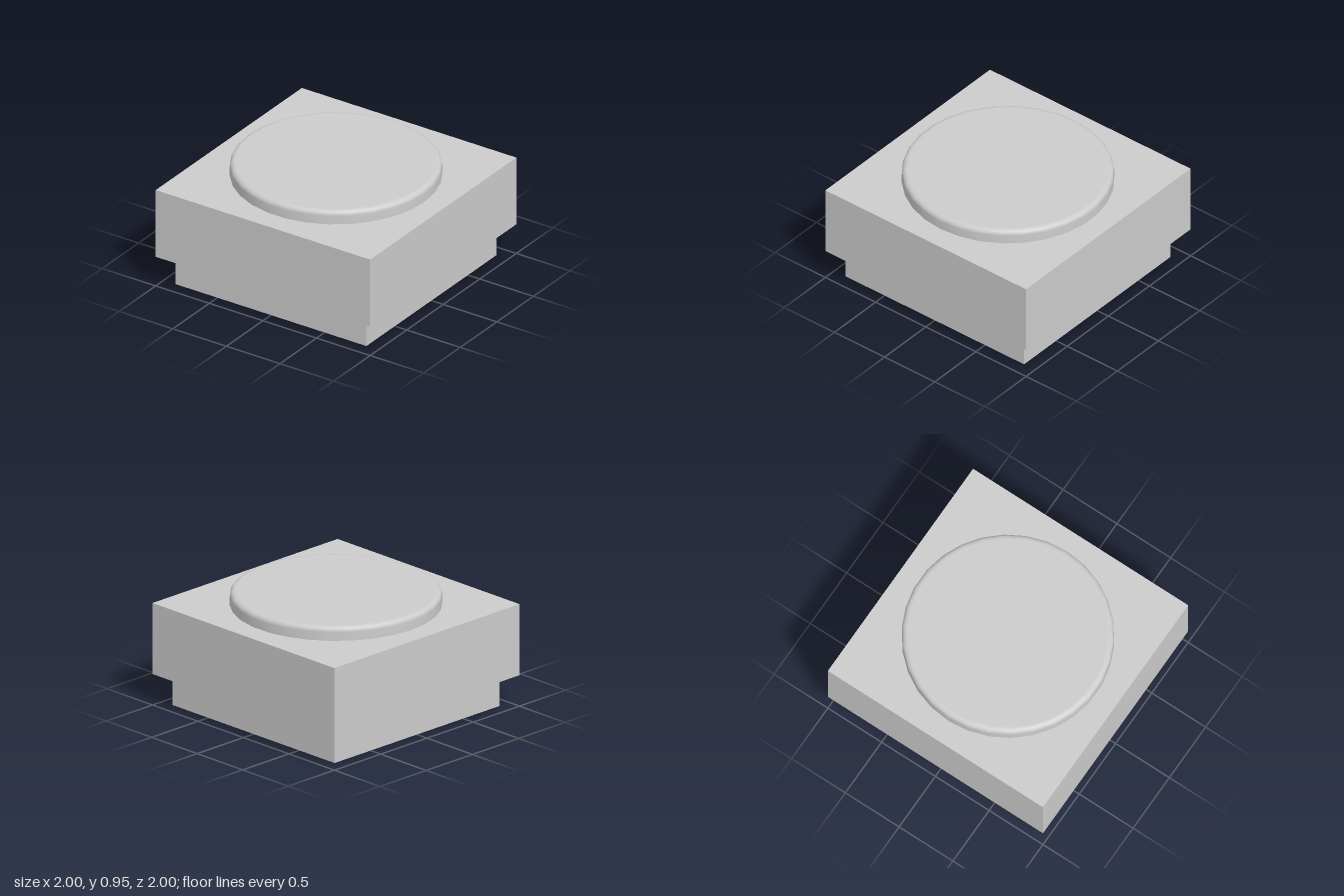
import * as THREE from 'three';

const material = new THREE.MeshStandardMaterial({ color: 0xcccccc });

function addBlock(group, name, width, y0, y1) {
  const mesh = new THREE.Mesh(new THREE.BoxGeometry(width, y1 - y0, width), material);
  mesh.position.y = (y0 + y1) / 2;
  mesh.name = name;
  group.add(mesh);
}

export function createModel() {
  const group = new THREE.Group();
  group.name = 'pushButton';

  // Square base and wider housing
  addBlock(group, 'base', 1.78, 0, 0.255);
  addBlock(group, 'housing', 2, 0.255, 0.84);

  // Round button cap with a softened rim
  const radius = 0.82, top = 0.952, round = 0.04;
  const profile = [new THREE.Vector2(radius, 0.84)];
  for (let i = 0; i <= 4; i++) {
    const a = (i / 4) * Math.PI / 2;
    profile.push(new THREE.Vector2(
      radius - round + round * Math.cos(a),
      top - round + round * Math.sin(a)));
  }
  profile.push(new THREE.Vector2(radius - round - 0.01, top), new THREE.Vector2(0, top));
  const cap = new THREE.Mesh(new THREE.LatheGeometry(profile, 30, Math.PI / 2), material);
  cap.name = 'buttonCap';
  group.add(cap);

  return group;
}
